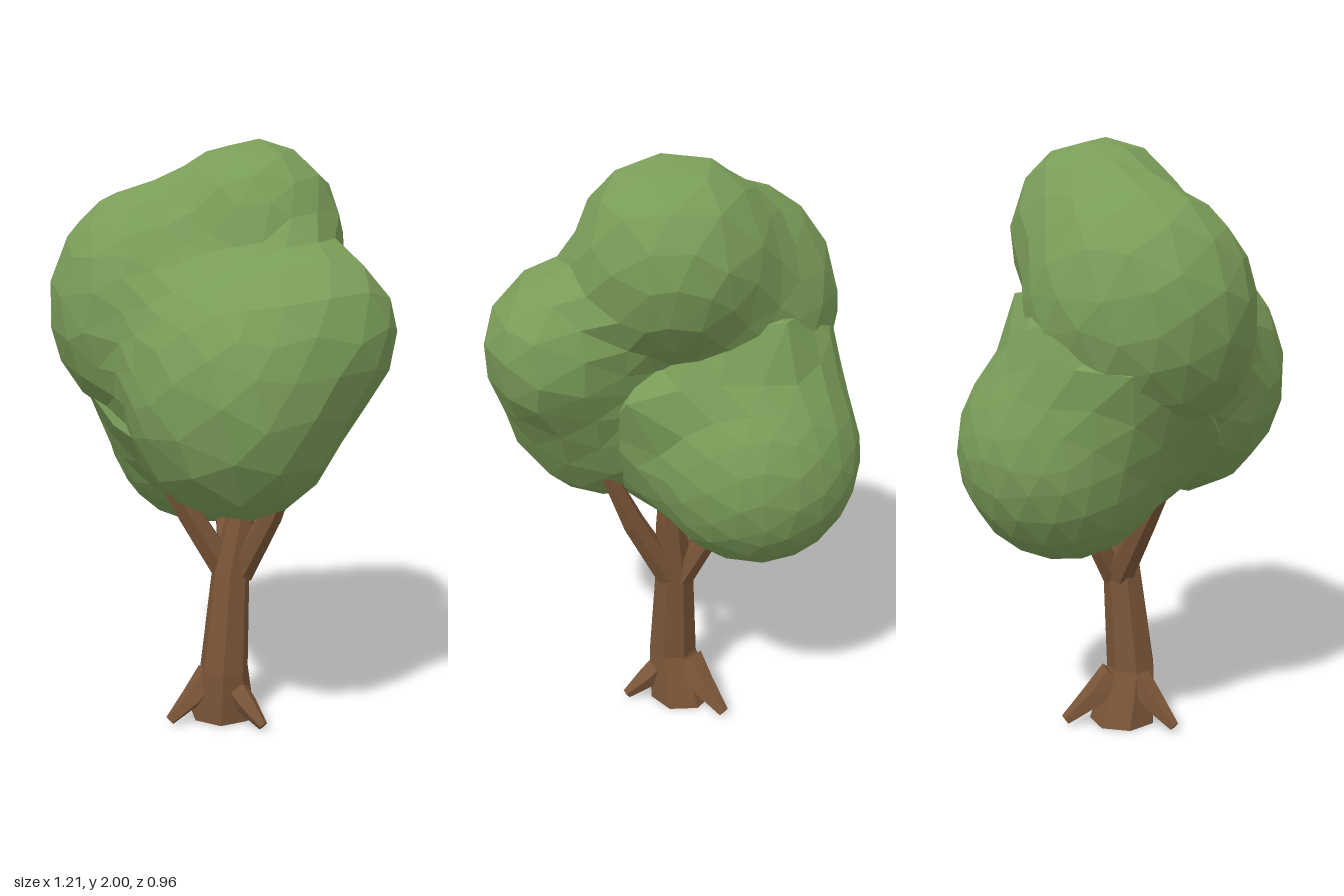
import * as THREE from 'three';

const bark = new THREE.MeshStandardMaterial({ color: 0x7a5538, flatShading: true });
const leaf = new THREE.MeshStandardMaterial({ color: 0x7a9c58, flatShading: true });

const lobe = (c, r) => ({ c: new THREE.Vector3(...c), r: new THREE.Vector3(...r) });

// Lobes of the upper crown: top, right front, left, left back
const upperLobes = [
  lobe([0.005, 1.69, -0.13], [0.31, 0.315, 0.295]),
  lobe([-0.2, 1.46, 0.11], [0.35, 0.405, 0.37]),
  lobe([0.205, 1.21, 0.09], [0.375, 0.41, 0.34]),
  lobe([0.36, 1.4, -0.115], [0.245, 0.265, 0.25]),
];
const lowLobe = lobe([-0.26, 1.02, -0.13], [0.345, 0.365, 0.345]);

// Smoothly blended distance to a set of lobes
function blendedDistance(p, lobes, k) {
  const parts = lobes.map(l => (p.clone().sub(l.c).divide(l.r).length() - 1) * l.r.x);
  return parts.reduce((d, e) => {
    const h = Math.max(k - Math.abs(d - e), 0) / k;
    return Math.min(d, e) - h * h * k / 4;
  });
}

// A faceted ball whose corners sit where rays from its centre leave the blended lobes
function foliage(name, centre, detail, lobes, k, reach) {
  const geo = new THREE.IcosahedronGeometry(1, detail);
  const pos = geo.attributes.position;
  const dir = new THREE.Vector3(), p = new THREE.Vector3();
  for (let i = 0; i < pos.count; i++) {
    dir.fromBufferAttribute(pos, i);
    // uneven spacing of the facets, identical for shared corners
    dir.x += 0.04 * Math.sin(dir.y * 17 + dir.z * 11);
    dir.y += 0.04 * Math.sin(dir.z * 15 + dir.x * 13);
    dir.normalize();
    let near = 0, far = reach;
    for (let s = 0; s < 16; s++) {
      const t = (near + far) / 2;
      p.copy(dir).multiplyScalar(t).add(centre);
      if (blendedDistance(p, lobes, k) < 0.002) near = t;
      else far = t;
    }
    pos.setXYZ(i, p.x, p.y, p.z);
  }
  geo.computeVertexNormals();
  const mesh = new THREE.Mesh(geo, leaf);
  mesh.name = name;
  return mesh;
}

// A tapered limb along a path; each point is [x, y, z, radius]
function limb(name, path, sides, level = false) {
  const geo = new THREE.CylinderGeometry(1, 1, 1, sides, path.length - 1);
  const pos = geo.attributes.position;
  const up = new THREE.Vector3(0, 1, 0), v = new THREE.Vector3();
  const at = i => new THREE.Vector3(...path[i].slice(0, 3));
  const turns = path.map((_, i) => {
    const d = at(Math.min(i + 1, path.length - 1)).sub(at(Math.max(i - 1, 0))).normalize();
    return new THREE.Quaternion().setFromUnitVectors(up, level ? up : d);
  });
  for (let i = 0; i < pos.count; i++) {
    const row = Math.round((pos.getY(i) + 0.5) * (path.length - 1));
    v.set(pos.getX(i), 0, pos.getZ(i)).multiplyScalar(path[row][3]);
    v.applyQuaternion(turns[row]).add(at(row));
    pos.setXYZ(i, v.x, v.y, v.z);
  }
  geo.computeVertexNormals();
  const mesh = new THREE.Mesh(geo, bark);
  mesh.name = name;
  return mesh;
}

export function createModel() {
  const tree = new THREE.Group();
  tree.name = 'tree';

  // Leaning trunk
  tree.add(limb('trunk', [
    [-0.03, 0, -0.035, 0.117], [0.004, 0.19, -0.018, 0.086],
    [0, 0.54, -0.05, 0.067], [0.015, 0.75, -0.085, 0.05], [0.02, 0.98, -0.12, 0.03],
  ], 7, true));

  // Branches
  tree.add(limb('frontBranch', [
    [-0.025, 0.53, -0.05, 0.052], [-0.08, 0.75, 0.07, 0.045], [-0.14, 1.04, 0.24, 0.017]], 6));
  tree.add(limb('leftBranch', [
    [0.02, 0.53, -0.075, 0.047], [0.14, 0.76, -0.115, 0.04], [0.27, 1.08, -0.165, 0.018]], 6));
  tree.add(limb('rightBranch', [
    [-0.025, 0.52, -0.07, 0.044], [-0.11, 0.69, -0.11, 0.037], [-0.2, 0.86, -0.15, 0.028]], 6));

  // Roots, each from the trunk out to the ground
  const roots = {
    leftRoot: [[0.04, 0.13, -0.03, 0.047], [0.1, 0.075, -0.045, 0.04], [0.175, 0.016, -0.06, 0.018]],
    frontRoot: [[-0.03, 0.165, 0.02, 0.047], [-0.04, 0.085, 0.09, 0.04], [-0.055, 0.016, 0.175, 0.018]],
    rightBackRoot: [[-0.05, 0.165, -0.06, 0.055], [-0.1, 0.085, -0.12, 0.045], [-0.17, 0.016, -0.19, 0.02]],
  };
  for (const [name, path] of Object.entries(roots)) tree.add(limb(name, path, 5));

  // Crown
  tree.add(foliage('upperFoliage', new THREE.Vector3(0.02, 1.42, 0), 4, upperLobes, 0.12, 0.9));
  tree.add(foliage('lowBackFoliage', lowLobe.c, 3, [lowLobe, ...upperLobes], 0.2, 0.52));
  return tree;
}
